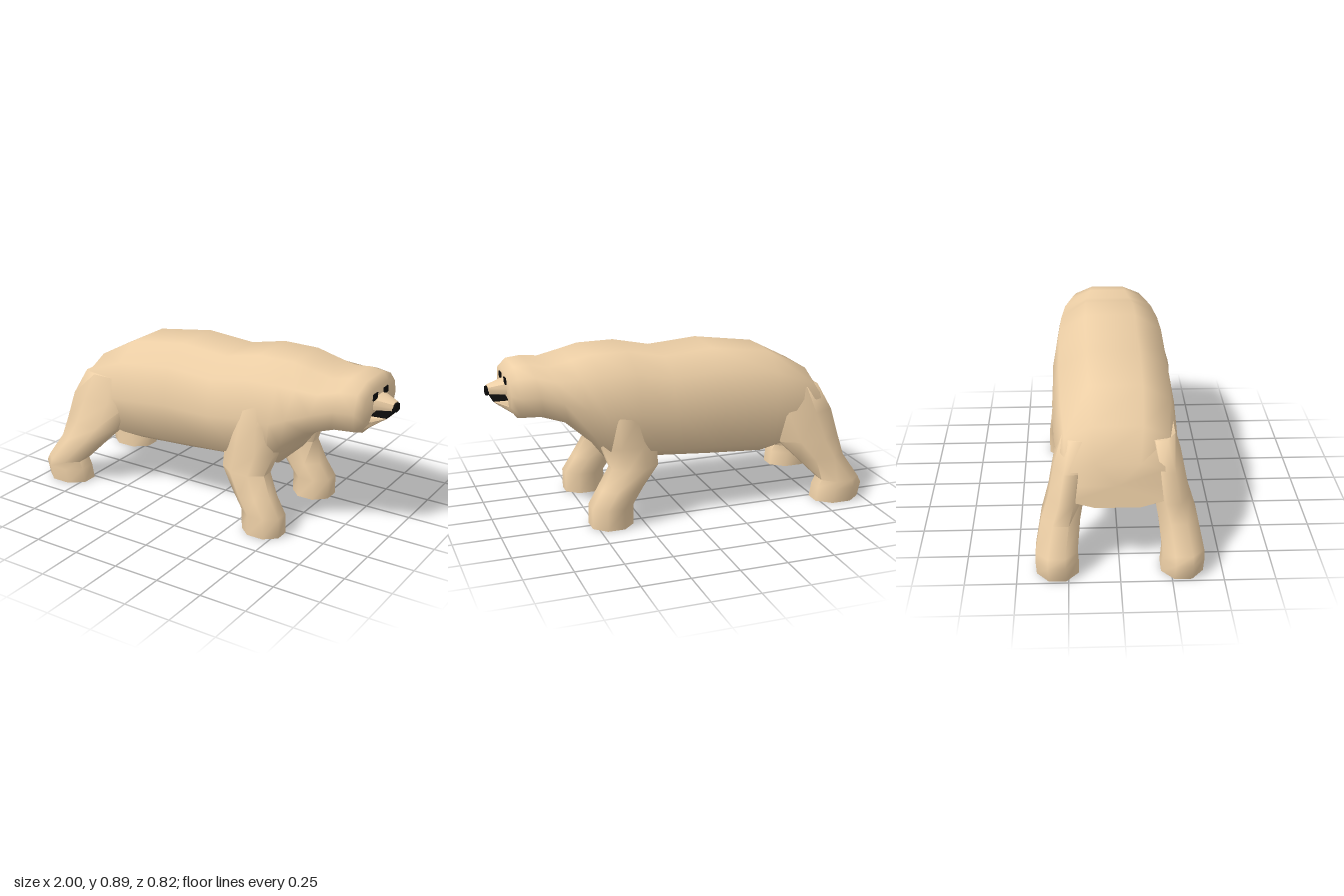
import * as THREE from 'three';
import { toCreasedNormals } from 'three/addons/utils/BufferGeometryUtils.js';

const fur = new THREE.MeshStandardMaterial({ color: 0xedcfa6 });
const black = new THREE.MeshStandardMaterial({ color: 0x0a0a0a });

// Skin a list of equal-length rings and close both ends with fans
function loft(rings, crease = 1.0) {
  const n = rings[0].length, pos = [], idx = [];
  rings.forEach(r => r.forEach(p => pos.push(...p)));
  for (let i = 0; i < rings.length - 1; i++) {
    for (let j = 0; j < n; j++) {
      const a = i * n + j, b = i * n + (j + 1) % n;
      idx.push(a, a + n, b, b, a + n, b + n);
    }
  }
  const cap = (i, flip) => {
    const c = pos.length / 3, r = rings[i];
    for (let k = 0; k < 3; k++) pos.push(r.reduce((s, p) => s + p[k], 0) / n);
    for (let j = 0; j < n; j++) {
      const a = i * n + j, b = i * n + (j + 1) % n;
      idx.push(c, flip ? b : a, flip ? a : b);
    }
  };
  cap(0, false);
  cap(rings.length - 1, true);
  const g = new THREE.BufferGeometry();
  g.setAttribute('position', new THREE.Float32BufferAttribute(pos, 3));
  g.setIndex(idx);
  return toCreasedNormals(g, crease);
}

// Half cross-section: [fraction of half width, fraction of height]
const HALF = [[0.43, 0], [0.92, 0.15], [1, 0.5], [0.88, 0.85], [0.43, 1]];

// Upright ring; x may differ between its bottom and top edge
function bodyRing([xBottom, xTop, bottom, top, halfWidth], zMid) {
  const at = ([w, h], side) => [
    xBottom + (xTop - xBottom) * h, bottom + (top - bottom) * h, zMid + side * w * halfWidth];
  return [...HALF.map(p => at(p, 1)), ...[...HALF].reverse().map(p => at(p, -1))];
}

// Level octagonal ring filling the given bounds
function legRing([y, x0, x1, z0, z1]) {
  const k = 0.5 / Math.cos(Math.PI / 8);
  return Array.from({ length: 8 }, (_, j) => {
    const a = (j + 0.5) * Math.PI / 4;
    return [(x0 + x1) / 2 + (x1 - x0) * k * Math.cos(a), y, (z0 + z1) / 2 + (z1 - z0) * k * Math.sin(a)];
  });
}

export function createModel() {
  const group = new THREE.Group();
  const add = (name, geometry, material = fur) => {
    const m = new THREE.Mesh(geometry, material);
    m.name = name;
    group.add(m);
    return m;
  };

  // Torso, neck and head: xBottom, xTop, bottom, top, halfWidth
  const body = [
    [-0.86, -0.83, 0.33, 0.55, 0.255],
    [-0.72, -0.74, 0.31, 0.705, 0.29],
    [-0.48, -0.52, 0.26, 0.82, 0.31],
    [-0.19, -0.19, 0.28, 0.867, 0.32],
    [0.08, 0.08, 0.302, 0.847, 0.32],
    [0.25, 0.28, 0.31, 0.89, 0.32],
    [0.41, 0.48, 0.32, 0.89, 0.31],
    [0.48, 0.58, 0.415, 0.867, 0.3],
    [0.62, 0.70, 0.54, 0.842, 0.285],
    [0.74, 0.79, 0.577, 0.858, 0.24],
    [0.86, 0.87, 0.58, 0.853, 0.215],
    [0.9, 0.905, 0.635, 0.815, 0.185],
  ];
  add('body', loft(body.map(s => bodyRing(s, -0.008)), 1.2));

  // Muzzle, lower jaw, mouth and nose
  const parts = [
    ['muzzle', fur, [[0.88, 0.88, 0.69, 0.775, 0.085], [0.99, 0.99, 0.697, 0.742, 0.032]]],
    ['lowerJaw', fur, [[0.86, 0.86, 0.585, 0.685, 0.13], [0.965, 0.965, 0.66, 0.672, 0.06]]],
    ['mouth', black, [[0.89, 0.89, 0.672, 0.69, 0.09], [0.97, 0.97, 0.666, 0.677, 0.062]]],
    ['nose', black, [[0.985, 0.985, 0.692, 0.738, 0.034], [1, 1, 0.692, 0.735, 0.03]]],
  ];
  for (const [name, material, sections] of parts) {
    add(name, loft(sections.map(s => bodyRing(s, -0.005)), 0.7), material);
  }

  // Eyes
  for (const side of [-1, 1]) {
    add(side < 0 ? 'leftEye' : 'rightEye', new THREE.BoxGeometry(0.02, 0.033, 0.046), black)
      .position.set(0.9, 0.773, -0.003 + side * 0.06);
  }

  // Legs: y, back x, front x, inner z, outer z
  const foreleg = [
    [0, 0.31, 0.53, 0.2, 0.38],
    [0.11, 0.31, 0.53, 0.205, 0.38],
    [0.2, 0.25, 0.475, 0.2, 0.37],
    [0.31, 0.17, 0.42, 0.18, 0.34],
    [0.42, 0.17, 0.46, 0.17, 0.318],
    [0.58, 0.22, 0.45, 0.15, 0.322],
    [0.72, 0.26, 0.4, 0.13, 0.28],
  ];
  const hindLeg = [
    [0, -0.985, -0.73, 0.2, 0.405],
    [0.08, -1, -0.74, 0.205, 0.41],
    [0.12, -0.98, -0.76, 0.205, 0.408],
    [0.25, -0.895, -0.63, 0.19, 0.38],
    [0.35, -0.875, -0.53, 0.17, 0.345],
    [0.5, -0.84, -0.46, 0.15, 0.315],
    [0.64, -0.77, -0.48, 0.13, 0.275],
  ];
  // The far foreleg stands a little closer to the middle
  const farForeleg = foreleg.map(([y, x0, x1, z0, z1]) =>
    [y, x0, x1, y < 0.3 ? z0 - 0.045 : z0, y < 0.3 ? z1 - 0.02 : z1]);
  const mirror = legs => legs.map(([y, x0, x1, z0, z1]) => [y, x0, x1, -z1, -z0]);
  add('rightForeleg', loft(foreleg.map(legRing), 1.2));
  add('leftForeleg', loft(mirror(farForeleg).map(legRing), 1.2));
  add('rightHindLeg', loft(hindLeg.map(legRing), 1.2));
  add('leftHindLeg', loft(mirror(hindLeg).map(legRing), 1.2));

  return group;
}
